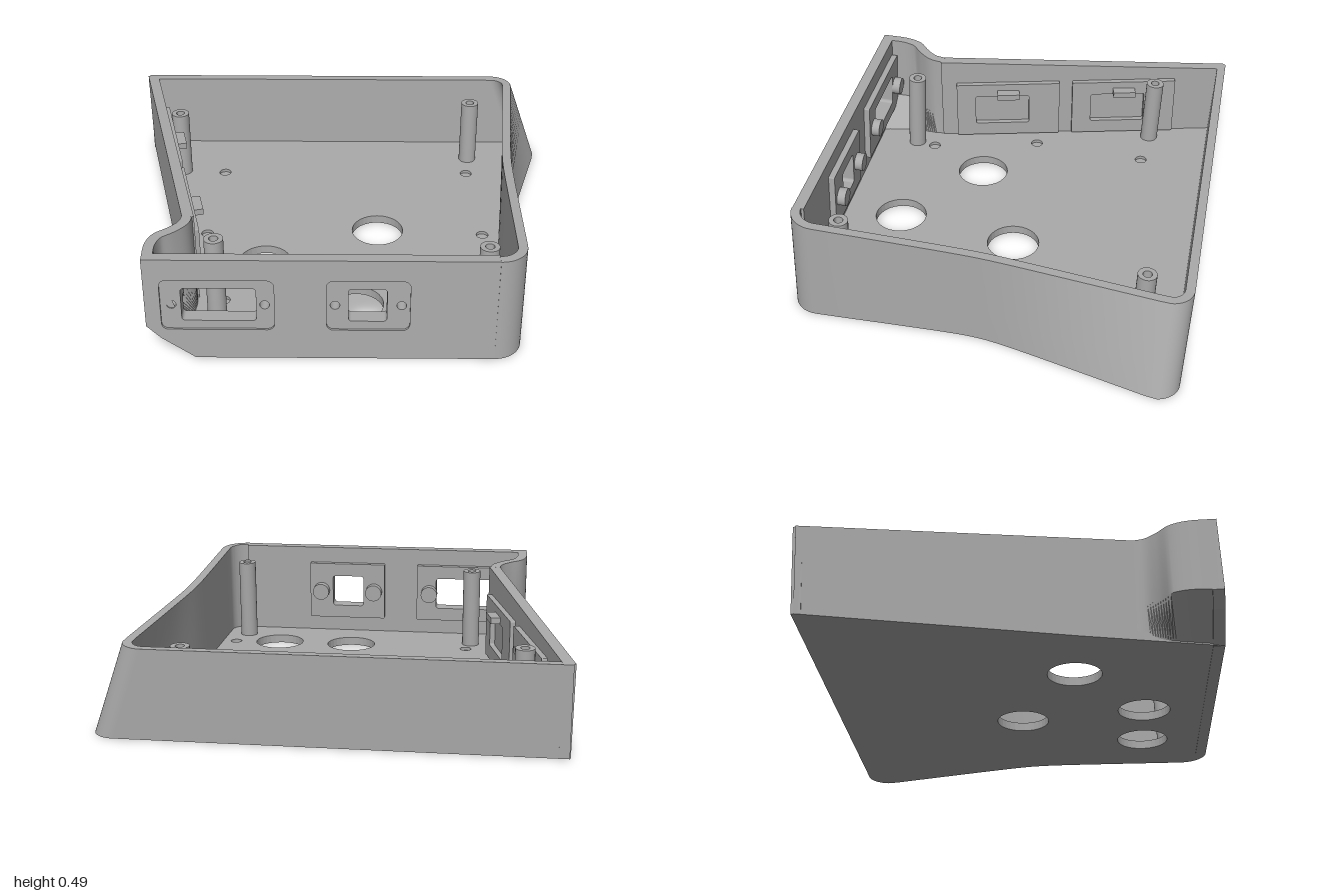
import * as THREE from 'three';
import { toCreasedNormals } from 'three/addons/utils/BufferGeometryUtils.js';

const LEAN = 0.045; // walls lean back, square to the sloping rim
const rimY = (z) => 0.49 - (0.86 - z) * 0.052;

// Rounded rectangle (Shape or Path) from centre and size
function roundRect(cx, cy, w, h, r, Type = THREE.Path) {
  const p = new Type(), x = cx - w / 2, y = cy - h / 2;
  p.moveTo(x + r, y);
  p.lineTo(x + w - r, y); p.absarc(x + w - r, y + r, r, -Math.PI / 2, 0);
  p.lineTo(x + w, y + h - r); p.absarc(x + w - r, y + h - r, r, 0, Math.PI / 2);
  p.lineTo(x + r, y + h); p.absarc(x + r, y + h - r, r, Math.PI / 2, Math.PI);
  p.lineTo(x, y + r); p.absarc(x + r, y + r, r, Math.PI, Math.PI * 1.5);
  return p;
}
const circle = (x, y, r) => new THREE.Path().absarc(x, y, r, 0, Math.PI * 2);
const polygon = (pts) => new THREE.Shape(pts.map(([x, y]) => new THREE.Vector2(x, y)));

function plate(shape, holes, depth) {
  shape.holes = holes;
  return new THREE.ExtrudeGeometry(shape, { depth, bevelEnabled: false, curveSegments: 16 });
}

// Inward offset of a plan path by thickness w
function inset(path, w) {
  return path.map(([x, z], i) => {
    const a = path[Math.max(i - 1, 0)], b = path[Math.min(i + 1, path.length - 1)];
    const dx = b[0] - a[0], dz = b[1] - a[1], l = Math.hypot(dx, dz);
    return [x + (dz / l) * w, z - (dx / l) * w];
  });
}

// Wall lofted from a base path through a middle level to a rim path
function wall(base, rim, w, middle) {
  const baseIn = inset(base, w), rimIn = inset(rim, w), pos = [], idx = [], n = 6;
  base.forEach((b, i) => {
    const top = rimY(rim[i][1]);
    const low = (p) => [p[0], 0, p[1]], high = (p) => [p[0], top, p[1]];
    const mid = (p, q) => middle(p, q, top);
    pos.push(...low(b), ...mid(b, rim[i]), ...high(rim[i]),
      ...high(rimIn[i]), ...mid(baseIn[i], rimIn[i]), ...low(baseIn[i]));
  });
  const last = (base.length - 1) * n;
  for (let i = 0; i < last; i += n) {
    for (let j = 0; j < n; j++) {
      const k = (j + 1) % n;
      idx.push(i + j, i + n + j, i + k, i + k, i + n + j, i + n + k);
    }
  }
  for (let k = 1; k < n - 1; k++) idx.push(0, k, k + 1, last, last + k + 1, last + k);
  const g = new THREE.BufferGeometry();
  g.setAttribute('position', new THREE.Float32BufferAttribute(pos, 3));
  g.setIndex(idx);
  return toCreasedNormals(g, 0.6);
}

// Plan path round the front right corner, flared right side and back
function mainPath(flare, shift) {
  const pts = [], r = 0.12, rb = 0.1;
  for (let i = 0; i <= 12; i++) {
    const a = (Math.PI / 2) * (1 - i / 12);
    pts.push([0.655 + r * Math.cos(a), 0.74 + shift + r * Math.sin(a)]);
  }
  const side = (z) => {
    const d = 0.02 - z;
    return 0.775 + (flare * (d + Math.sqrt(d * d + 0.01))) / 2 / 0.78;
  };
  for (let i = 1; i <= 24; i++) {
    const z = 0.7 - (i / 24) * 1.44 + shift;
    pts.push([side(z), z]);
  }
  const cx = side(-0.775 + shift) - rb;
  for (let i = 1; i <= 12; i++) {
    const a = (-Math.PI / 2) * (i / 12);
    pts.push([cx + rb * Math.cos(a), -0.775 + shift + rb * Math.sin(a)]);
  }
  pts.push([-0.99, -0.875 + shift]);
  return pts;
}

export function createModel() {
  const model = new THREE.Group();
  const grey = new THREE.MeshStandardMaterial({ color: 0xaaaaaa });
  grey.name = 'grey plastic';
  const add = (name, geometry, parent = model, x = 0, y = 0, z = 0) => {
    const m = new THREE.Mesh(geometry, grey);
    m.name = name;
    m.position.set(x, y, z);
    parent.add(m);
    return m;
  };

  // Right and back wall
  const base = mainPath(0.225, 0.02), rim = mainPath(0.08, 0);
  add('rightAndBackWall', wall(base, rim, 0.04, (p, q, top) =>
    [p[0] + (q[0] - p[0]) * 0.35, top * 0.35, p[1] + (q[1] - p[1]) * 0.35]));

  // Curved wall at the front left, swept in to the straight base line
  const curve = new THREE.CatmullRomCurve3([[-0.67, 0.51], [-0.68, 0.56], [-0.72, 0.61],
    [-0.775, 0.66], [-0.8, 0.73], [-0.8, 0.85]].map(([x, z]) => new THREE.Vector3(x, 0, z)));
  const notchRim = curve.getPoints(24).map((p) => [p.x, p.z]);
  const notchBase = notchRim.map(([, z]) => [-0.67 + (z - 0.52) * 0.237, z + 0.01]);
  add('frontLeftCurvedWall', wall(notchBase, notchRim, 0.045, (p, q) => [q[0], 0.16, q[1]]));

  // Floor: lower layer, and upper layer with shallow round pockets
  const outline = [...inset(base, 0.015), [-0.97, -0.84], [-0.6, 0.865]].map(([x, z]) => [x, -z]);
  const ports = [[0.175, -0.005], [-0.345, 0.25], [0.075, 0.56], [0.445, 0.56]];
  const pockets = [[-0.59, -0.51], [0.63, -0.51], [-0.63, 0.03], [0.67, 0.03], [-0.51, 0.54], [0.67, 0.54]];
  const portHoles = ports.map(([x, z]) => circle(x, -z, 0.12));
  const pocketHoles = pockets.map(([x, z]) => circle(x, -z, 0.028));
  add('floorLower', plate(polygon(outline), portHoles, 0.025)).rotation.x = -Math.PI / 2;
  add('floorUpper', plate(polygon(outline), [...portHoles, ...pocketHoles], 0.015),
    model, 0, 0.025, 0).rotation.x = -Math.PI / 2;

  // Front wall: recessed panels, openings, screw holes, inner pads and bosses
  const front = new THREE.Group();
  front.name = 'frontWall';
  front.position.z = 0.88;
  front.rotation.x = -LEAN;
  model.add(front);
  const frontShape = () => polygon([[-0.6, 0], [0.655, 0], [0.655, 0.49], [-0.8, 0.49], [-0.8, 0.16], [-0.74, 0.1]]);
  const panels = [
    { x: -0.5, w: 0.47, open: [-0.495, 0.31], screws: [-0.69, -0.305], pad: [-0.495, 0.51] },
    { x: 0.1225, w: 0.345, open: [0.12, 0.16], screws: [-0.015, 0.26], pad: [0.125, 0.39] },
  ];
  const cuts = (p) => [roundRect(p.open[0], 0.265, p.open[1], 0.16, 0.015),
    ...p.screws.map((x) => circle(x, 0.265, 0.02))];
  add('frontOuterLayer', plate(frontShape(), panels.map((p) => roundRect(p.x, 0.268, p.w, 0.245, 0.03)), 0.01),
    front, 0, 0, -0.01);
  add('frontInnerLayer', plate(frontShape(), panels.flatMap(cuts), 0.04), front, 0, 0, -0.05);
  for (const p of panels) {
    add('frontPad', plate(roundRect(p.pad[0], 0.265, p.pad[1], 0.29, 0.005, THREE.Shape), cuts(p), 0.028),
      front, 0, 0, -0.078);
    for (const x of p.screws) {
      const boss = new THREE.CylinderGeometry(0.042, 0.042, 0.04, 24).rotateX(Math.PI / 2);
      add('frontScrewBoss', boss, front, x, 0.265, -0.096);
    }
  }

  // Left wall, built along its own slanted direction
  const left = new THREE.Group();
  left.name = 'leftWall';
  left.position.set(-1, 0, -0.87);
  left.rotation.y = -Math.atan2(0.973, 0.231);
  model.add(left);
  const along = (z) => (z + 0.87) / 0.973;
  const leftShape = () => polygon([[0.027, 0], [1.44, 0], [1.44, rimY(0.52)], [0.008, rimY(-0.87)]]);
  const windows = [-0.365, 0.205].map(along);
  const openings = windows.map((u) => roundRect(u + 0.03, 0.2, 0.27, 0.16, 0.01));
  const screwHoles = [-0.74, -0.08, 0.49].flatMap((z) => [0.075, 0.205, 0.335].map((y) => circle(along(z), y, 0.02)));
  add('leftOuterLayer', plate(leftShape(),
    [...screwHoles, ...windows.map((u) => roundRect(u, 0.2, 0.45, 0.245, 0.02))], 0.012), left, 0, 0, -0.012);
  add('leftInnerLayer', plate(leftShape(), openings, 0.038), left, 0, 0, -0.05);
  windows.forEach((u, i) => {
    add('leftPad', plate(roundRect(u, 0.2, 0.52, 0.3, 0.005, THREE.Shape), [openings[i]], 0.025), left, 0, 0, -0.075);
    add('leftClip', new THREE.BoxGeometry(0.11, 0.03, 0.05), left, u, 0.3, -0.095);
  });

  // Hollow screw posts
  for (const [x, z] of [[-0.8, -0.54], [0.645, -0.67], [-0.53, 0.62], [0.63, 0.67]]) {
    const h = rimY(z) - 0.085;
    const profile = [[0.042, 0], [0.042, h], [0.02, h], [0.02, h - 0.2], [0, h - 0.2]]
      .map(([r, y]) => new THREE.Vector2(r, y));
    const post = add('screwPost', toCreasedNormals(new THREE.LatheGeometry(profile, 24), 0.6), model, x, 0.035, z + 0.015);
    post.rotation.x = -LEAN;
  }
  return model;
}
